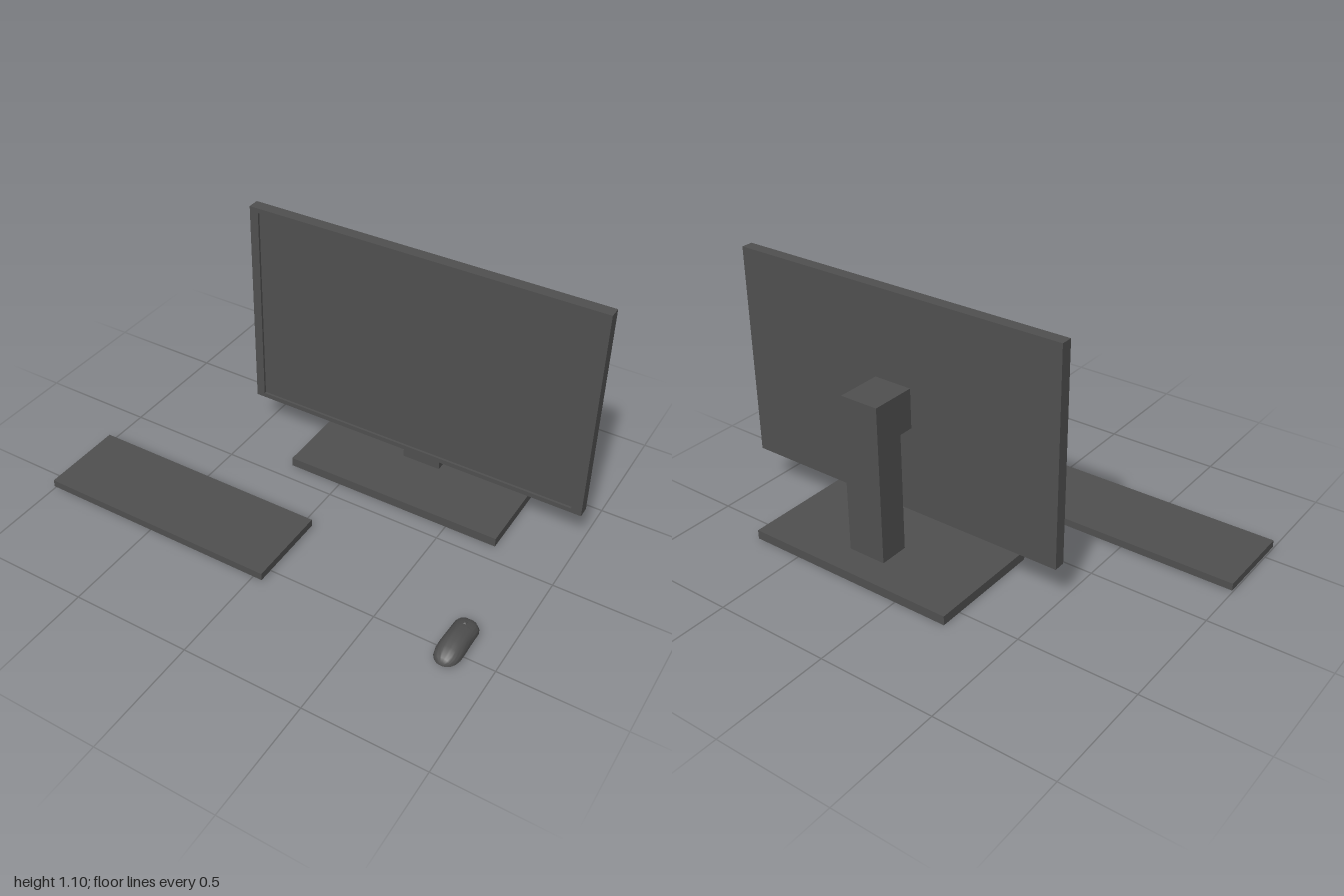
import * as THREE from 'three';
import { toCreasedNormals } from 'three/addons/utils/BufferGeometryUtils.js';

const material = new THREE.MeshStandardMaterial({ color: 0x505050 });

function mesh(name, geometry) {
  const m = new THREE.Mesh(geometry, material);
  m.name = name;
  return m;
}

// Box given by its [min, max] range on each axis
function slab(name, [x0, x1], [y0, y1], [z0, z1]) {
  const m = mesh(name, new THREE.BoxGeometry(x1 - x0, y1 - y0, z1 - z0));
  m.position.set((x0 + x1) / 2, (y0 + y1) / 2, (z0 + z1) / 2);
  return m;
}

function rectPath(path, x0, x1, y0, y1) {
  path.moveTo(x0, y0);
  path.lineTo(x1, y0);
  path.lineTo(x1, y1);
  path.lineTo(x0, y1);
  path.closePath();
  return path;
}

// Closed body through arched sections [z, halfWidth, height], from angle a0 to a1
function archLoft(sections, a0, a1, steps, lift = 0) {
  const pos = [], idx = [], n = steps + 1;
  for (const [z, w, h] of sections) {
    for (let i = 0; i < n; i++) {
      const a = a0 + (a1 - a0) * i / steps;
      pos.push((w + lift) * Math.cos(a), (h + lift) * Math.pow(Math.sin(a), 0.85), z);
    }
  }
  const last = (sections.length - 1) * n;
  for (let s = 0; s < last; s += n) {
    for (let i = 0; i < n; i++) {
      const j = (i + 1) % n;
      idx.push(s + i, s + j, s + n + i, s + j, s + n + j, s + n + i);
    }
  }
  for (let i = 1; i < steps; i++) {
    idx.push(0, i + 1, i, last, last + i, last + i + 1);
  }
  const g = new THREE.BufferGeometry();
  g.setAttribute('position', new THREE.Float32BufferAttribute(pos, 3));
  g.setIndex(idx);
  return toCreasedNormals(g, 0.7);
}

function createMonitor() {
  const monitor = new THREE.Group();
  monitor.name = 'monitor';

  // Panel with a raised bezel around the recessed screen
  monitor.add(slab('screenPanel', [-0.51, 1], [0.18, 1.1], [-0.275, -0.235]));
  const frame = rectPath(new THREE.Shape(), -0.51, 1, 0.18, 1.1);
  frame.holes.push(rectPath(new THREE.Path(), -0.472, 0.957, 0.2, 1.08));
  const bezel = mesh('bezel', new THREE.ExtrudeGeometry(frame, { depth: 0.01, bevelEnabled: false }));
  bezel.position.z = -0.235;
  monitor.add(bezel);

  // Stand: foot plate and a post whose head reaches forward to the panel
  monitor.add(slab('standBase', [-0.235, 0.72], [0, 0.04], [-0.595, -0.077]));
  const profile = new THREE.Shape([
    [0.47, 0.04], [0.47, 0.725], [0.275, 0.725], [0.275, 0.555], [0.34, 0.555], [0.34, 0.04],
  ].map(([z, y]) => new THREE.Vector2(z, y)));
  const post = mesh('standPost', new THREE.ExtrudeGeometry(profile, { depth: 0.17, bevelEnabled: false }));
  post.rotation.y = Math.PI / 2; // profile x becomes -z, depth becomes +x
  post.position.x = 0.16;
  monitor.add(post);
  return monitor;
}

function createMouse() {
  const mouse = new THREE.Group();
  mouse.name = 'mouse';
  mouse.position.set(0.828, 0.02, 0);

  const sections = [
    [0.367, 0.036, 0.029], [0.376, 0.045, 0.034], [0.39, 0.05, 0.04], [0.42, 0.05, 0.047],
    [0.455, 0.05, 0.053], [0.48, 0.051, 0.055], [0.51, 0.052, 0.053], [0.54, 0.051, 0.047],
    [0.565, 0.045, 0.038], [0.582, 0.033, 0.027], [0.592, 0.018, 0.014], [0.595, 0.006, 0.003],
  ];
  mouse.add(mesh('mouseBody', archLoft(sections, 0, Math.PI, 20)));

  // Two button plates, mirrored about the middle gap
  const front = sections.slice(0, 4);
  const a = 0.25 * Math.PI, b = 0.46 * Math.PI;
  mouse.add(mesh('leftButton', archLoft(front, a, b, 6, 0.002)));
  mouse.add(mesh('rightButton', archLoft(front, Math.PI - b, Math.PI - a, 6, 0.002)));

  // Scroll wheel in the gap
  const wheel = mesh('scrollWheel', new THREE.CylinderGeometry(0.012, 0.012, 0.008, 20));
  wheel.rotation.z = Math.PI / 2;
  wheel.position.set(0, 0.036, 0.405);
  mouse.add(wheel);
  return mouse;
}

export function createModel() {
  const model = new THREE.Group();
  model.name = 'deskSet';
  model.add(createMonitor());
  model.add(slab('keyboard', [-1, 0.045], [0.01, 0.042], [0.21, 0.57]));
  model.add(createMouse());
  return model;
}
